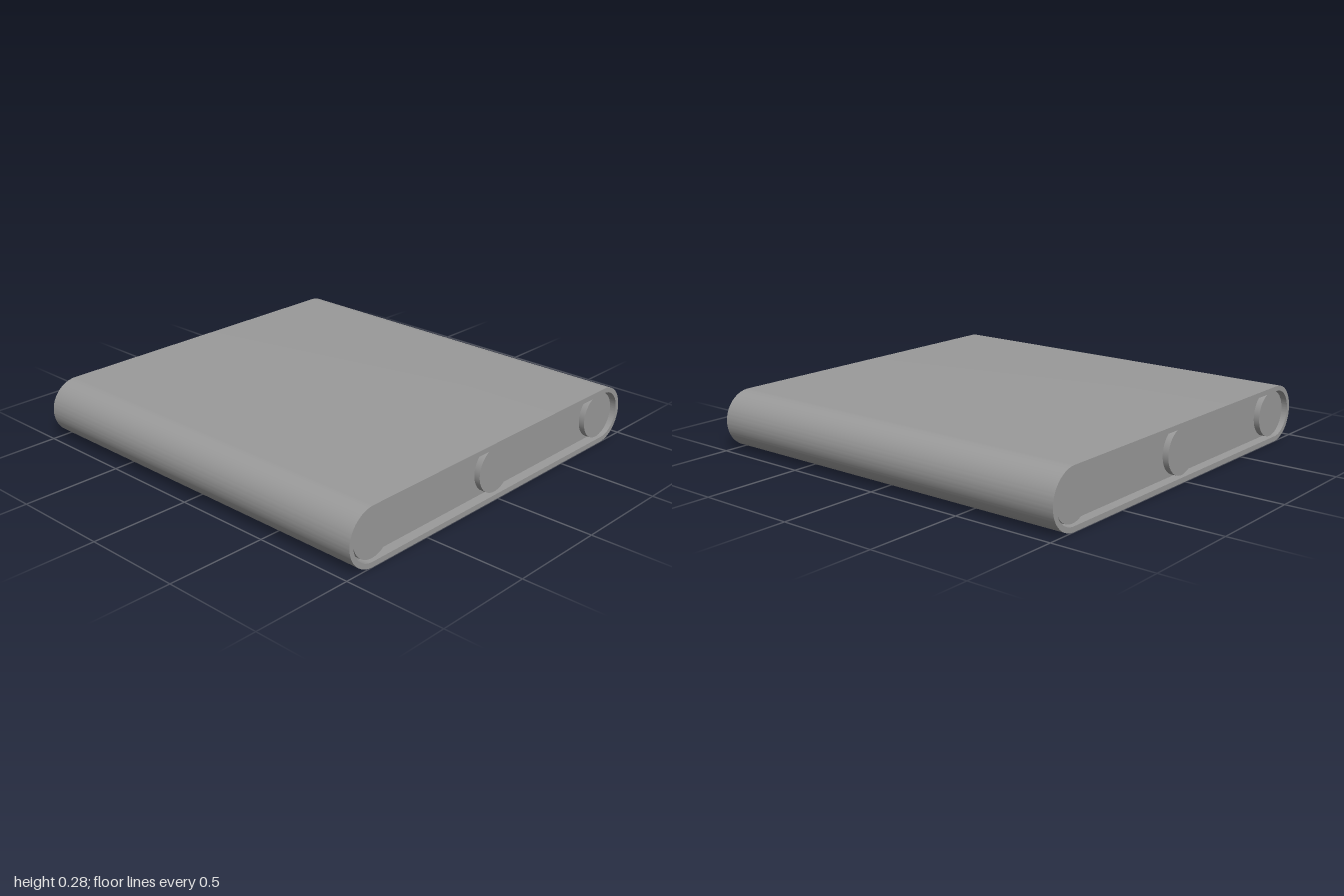
import * as THREE from 'three';
import { toCreasedNormals } from 'three/addons/utils/BufferGeometryUtils.js';

const MID_Y = 0.1425; // height of the roller axes

// Traces a slot outline: two half circles joined by straight runs
function traceSlot(path, centreX, radius) {
  path.moveTo(-centreX, -radius);
  path.lineTo(centreX, -radius);
  path.absarc(centreX, 0, radius, -Math.PI / 2, Math.PI / 2, false);
  path.lineTo(-centreX, radius);
  path.absarc(-centreX, 0, radius, Math.PI / 2, Math.PI * 1.5, false);
  return path;
}

// Extrudes a shape along z, centred, with smooth round ends
function extrudeCentred(shape, depth) {
  const geometry = new THREE.ExtrudeGeometry(shape, { depth, bevelEnabled: false, curveSegments: 32 });
  geometry.translate(0, MID_Y, -depth / 2);
  return toCreasedNormals(geometry, Math.PI / 6);
}

export function createModel() {
  const group = new THREE.Group();
  group.name = 'conveyor';
  const material = new THREE.MeshStandardMaterial({ color: 0x9a9a9a });

  const add = (name, geometry) => {
    const mesh = new THREE.Mesh(geometry, material);
    mesh.name = name;
    group.add(mesh);
    return mesh;
  };

  // Belt: a thin closed loop
  const beltShape = traceSlot(new THREE.Shape(), 0.8425, 0.1425);
  beltShape.holes.push(traceSlot(new THREE.Path(), 0.845, 0.117));
  add('belt', extrudeCentred(beltShape, 2));

  // Core filling the loop, recessed at both ends
  add('core', extrudeCentred(traceSlot(new THREE.Shape(), 0.845, 0.117), 1.9));

  // Rollers standing slightly proud of the core
  const rollerGeometry = new THREE.CylinderGeometry(0.115, 0.115, 1.96, 48);
  rollerGeometry.rotateX(Math.PI / 2);
  [['rightRoller', -0.827], ['middleRoller', 0], ['leftRoller', 0.827]].forEach(([name, x]) => {
    add(name, rollerGeometry).position.set(x, MID_Y, 0);
  });

  return group;
}
